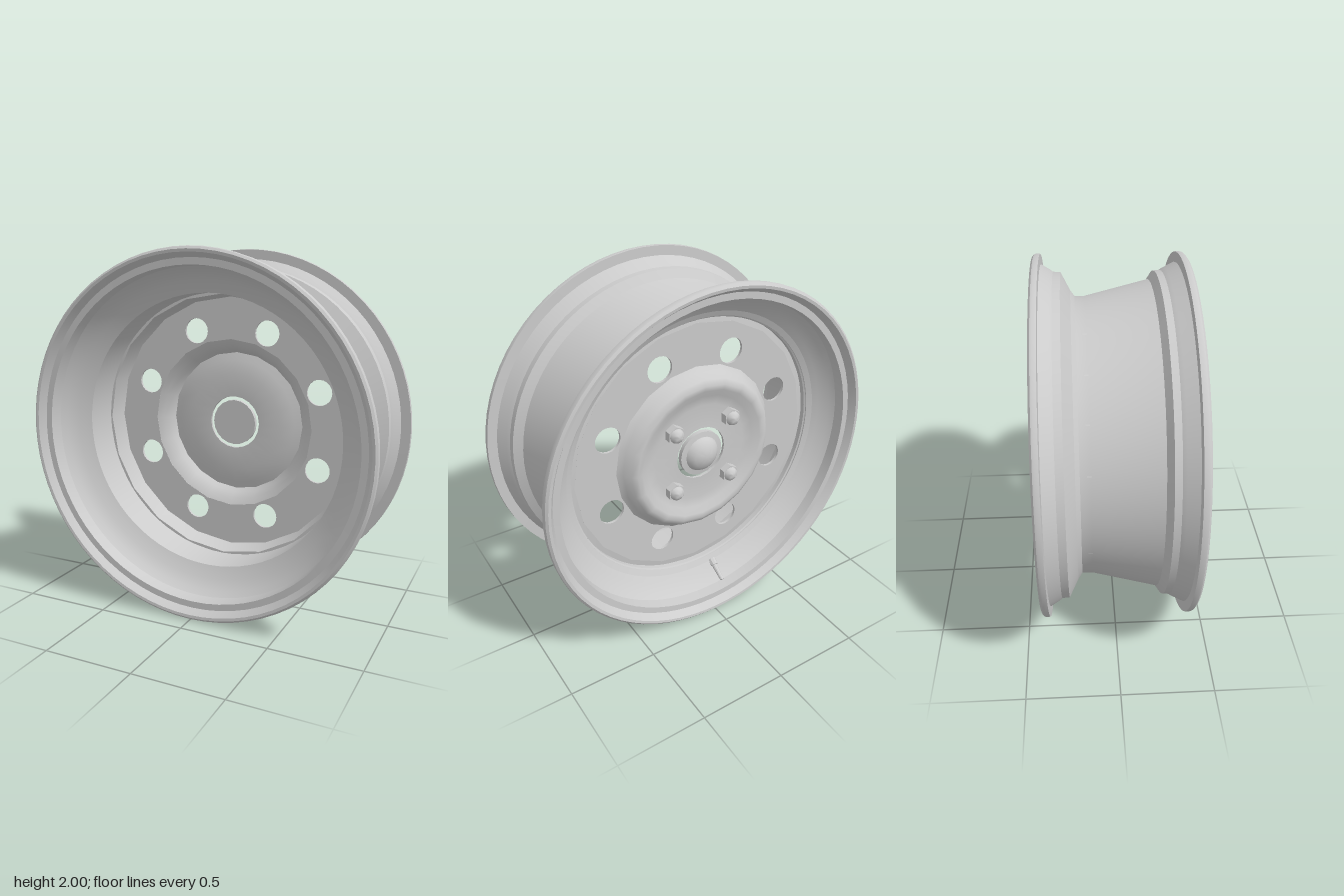
import * as THREE from 'three';
import { toCreasedNormals } from 'three/addons/utils/BufferGeometryUtils.js';

const material = new THREE.MeshStandardMaterial({ color: 0xcccccc, side: THREE.DoubleSide });

export function createModel() {
  const model = new THREE.Group();
  const wheel = new THREE.Group();
  wheel.name = 'wheel';
  wheel.position.y = 1;
  model.add(wheel);

  const add = (name, geometry, crease = 0.6, parent = wheel) => {
    const mesh = new THREE.Mesh(toCreasedNormals(geometry, crease), material);
    mesh.name = name;
    parent.add(mesh);
    return mesh;
  };
  // Turned part about the z axis, from [radius, z] pairs
  const turned = (points, sides) =>
    new THREE.LatheGeometry(points.map(([r, z]) => new THREE.Vector2(r, z)), sides).rotateX(Math.PI / 2);

  // Rim barrel: outer wall from back to front, then the bowls and inner cylinder
  add('rim', turned([
    [0.985, -0.4], [0.997, -0.39], [1, -0.38], [0.998, -0.36], [0.908, -0.357], [0.9, -0.255],
    [0.772, -0.19], [0.772, -0.13], [0.855, 0.215], [0.9, 0.245], [0.908, 0.357],
    [0.998, 0.36], [1, 0.38], [0.997, 0.39], [0.985, 0.4], [0.97, 0.398], [0.945, 0.36],
    [0.915, 0.3], [0.88, 0.245], [0.83, 0.2], [0.764, 0.165],
    [0.764, -0.178], [0.83, -0.225], [0.88, -0.265], [0.915, -0.31], [0.945, -0.36],
    [0.97, -0.398], [0.985, -0.4],
  ], 72), 0.5);

  // Lip that joins the disc to the barrel
  add('discLip', turned([
    [0.735, -0.155], [0.772, -0.15], [0.772, -0.035], [0.755, -0.035], [0.735, -0.14], [0.735, -0.155],
  ], 20));

  // Flat part of the disc with eight round holes
  const sides = 20;
  const ring = (r) => Array.from({ length: sides }, (_, i) => {
    const a = (i / sides) * Math.PI * 2;
    return new THREE.Vector2(Math.sin(a) * r, Math.cos(a) * r);
  });
  const plate = new THREE.Shape(ring(0.737));
  plate.holes.push(new THREE.Path(ring(0.495)));
  for (let i = 0; i < 8; i++) {
    const a = ((i + 0.5) / 8) * Math.PI * 2;
    const hole = new THREE.Path();
    hole.absarc(Math.cos(a) * 0.578, Math.sin(a) * 0.578, 0.073, 0, Math.PI * 2, true);
    plate.holes.push(hole);
  }
  add('discPlate', new THREE.ExtrudeGeometry(plate, { depth: 0.015, bevelEnabled: false, curveSegments: 10 })
    .translate(0, 0, -0.155));

  // Pressed centre of the disc: backward ridge, recessed face, hub hole
  add('discCentre', turned([
    [0.155, -0.21], [0.29, -0.205], [0.345, -0.215], [0.385, -0.238], [0.415, -0.242], [0.445, -0.225],
    [0.47, -0.18], [0.497, -0.155], [0.497, -0.14], [0.46, -0.16], [0.43, -0.195], [0.412, -0.225],
    [0.37, -0.212], [0.29, -0.19], [0.155, -0.195], [0.155, -0.21],
  ], sides), 0.75);

  // Centre cap: flange with a domed back
  add('centreCap', turned([
    [0, -0.272], [0.035, -0.268], [0.068, -0.256], [0.092, -0.238], [0.102, -0.22],
    [0.133, -0.215], [0.133, -0.19], [0, -0.19],
  ], sides));

  // Four wheel nuts: hexagonal base with a rounded cap
  for (const x of [-0.18, 0.18]) for (const y of [-0.18, 0.18]) {
    const nut = new THREE.Group();
    nut.name = 'wheelNut';
    nut.position.set(x, y, 0);
    wheel.add(nut);
    add('nutBase', new THREE.CylinderGeometry(0.052, 0.052, 0.045, 6).rotateX(Math.PI / 2).translate(0, 0, -0.224), 0.6, nut);
    add('nutCap', turned([[0, -0.28], [0.02, -0.276], [0.036, -0.263], [0.042, -0.245]], 12), 0.9, nut);
  }

  // Tyre valve through the lower back wall of the barrel
  const valve = new THREE.Group();
  valve.name = 'valve';
  valve.position.set(-0.1, -0.82, -0.22);
  valve.rotation.x = Math.atan2(-0.09, -0.06);
  wheel.add(valve);
  add('valveFoot', new THREE.CylinderGeometry(0.022, 0.026, 0.04, 10).translate(0, -0.01, 0), 0.6, valve);
  add('valveStem', new THREE.CylinderGeometry(0.011, 0.016, 0.11, 10).translate(0, 0.055, 0), 0.6, valve);

  return model;
}
